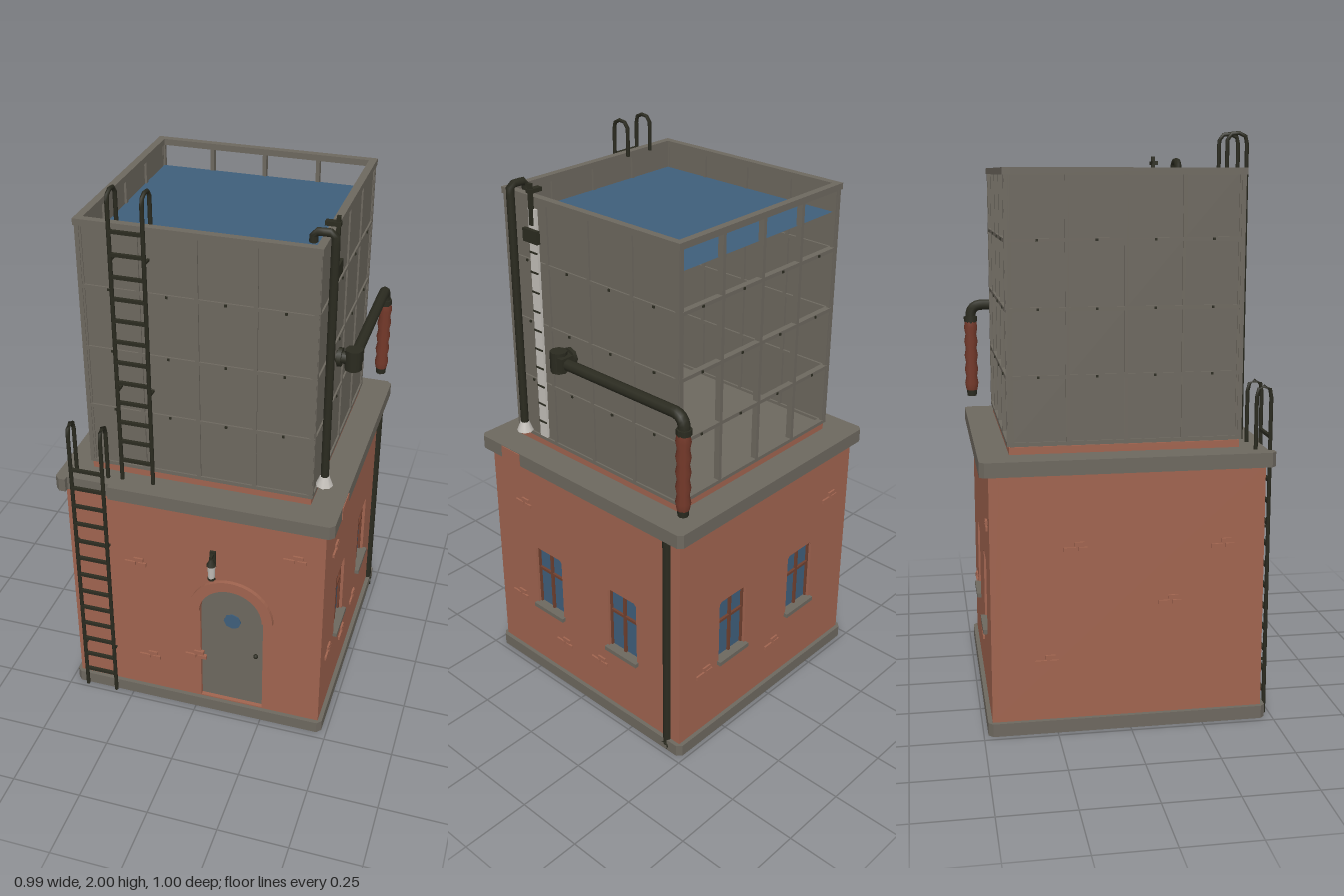
import * as THREE from 'three';

const mat = (name, color, side = THREE.FrontSide) => {
  const m = new THREE.MeshStandardMaterial({ color, side });
  m.name = name;
  return m;
};

export function createModel() {
  const brick = mat('brick', 0xa0644f), grey = mat('weathered grey', 0x6d685f);
  const blue = mat('water blue', 0x3f5f7b, THREE.DoubleSide), iron = mat('dark iron', 0x2b2b20);
  const white = mat('pale white', 0xc4c0ba), hose = mat('hose red', 0x74392a);
  const frame = mat('window frame brown', 0x70402f);

  const root = new THREE.Group();
  root.name = 'waterTower';
  const add = (parent, name, geo, m, x = 0, y = 0, z = 0) => {
    const mesh = new THREE.Mesh(geo, m);
    mesh.name = name;
    mesh.position.set(x, y, z);
    parent.add(mesh);
    return mesh;
  };
  const group = (name, parent = root) => {
    const g = new THREE.Group();
    g.name = name;
    parent.add(g);
    return g;
  };
  const box = (p, name, m, w, h, d, x, y, z) => add(p, name, new THREE.BoxGeometry(w, h, d), m, x, y, z);
  const cyl = (p, name, m, r1, r2, h, x, y, z, n = 8) =>
    add(p, name, new THREE.CylinderGeometry(r1, r2, h, n), m, x, y, z);
  const V = (x, y, z) => new THREE.Vector3(x, y, z);
  // Pipe along a polyline with small rounded corners
  const pipe = (p, name, m, pts, r, bend = 0.03, sides = 8) => {
    const path = new THREE.CurvePath();
    let from = pts[0];
    for (let i = 1; i < pts.length - 1; i++) {
      const c = pts[i];
      const a = c.clone().add(pts[i - 1].clone().sub(c).setLength(bend));
      const b = c.clone().add(pts[i + 1].clone().sub(c).setLength(bend));
      path.add(new THREE.LineCurve3(from, a));
      path.add(new THREE.QuadraticBezierCurve3(a, c, b));
      from = b;
    }
    path.add(new THREE.LineCurve3(from, pts[pts.length - 1]));
    const tube = new THREE.TubeGeometry(path, 48, r, sides);
    add(p, name, tube, m);
  };
  const polygon = pts => new THREE.Shape(pts.map(([x, y]) => new THREE.Vector2(x, y)));
  const extrude = (shape, depth) => new THREE.ExtrudeGeometry(shape, { depth, bevelEnabled: false, curveSegments: 12 });
  // Flat slab with chamfered corners, optional notch at the front edge
  const slab = (p, name, s, y0, h, notch) => {
    const c = 0.016, pts = [[-s, -s + c], [-s + c, -s]];
    if (notch) pts.push([-0.455, -s], [-0.455, -s + 0.018], [-0.3, -s + 0.018], [-0.3, -s]);
    pts.push([s - c, -s], [s, -s + c], [s, s - c], [s - c, s], [-s + c, s], [-s, s - c]);
    add(p, name, extrude(polygon(pts), h), grey, 0, y0, 0).rotation.x = -Math.PI / 2;
  };

  // ---- Brick building ----
  const building = group('building');
  building.position.z = -0.005;
  slab(building, 'plinth', 0.48, 0, 0.045);
  slab(building, 'cornice', 0.495, 0.9, 0.05, true);
  box(building, 'cornicePatch', brick, 0.004, 0.046, 0.095, 0.496, 0.925, 0.33);

  const W = 0.465;
  const windowHole = (x) => polygon([[x - 0.07, 0.295], [x + 0.07, 0.295], [x + 0.07, 0.54],
    [x + 0.06, 0.55], [x - 0.06, 0.55], [x - 0.07, 0.54]]);
  const archPath = (shape, x, r, y0, y1) => {
    shape.moveTo(x - r, y0);
    shape.lineTo(x + r, y0);
    shape.lineTo(x + r, y1);
    shape.absarc(x, y1, r, 0, Math.PI, false);
    shape.lineTo(x - r, y0);
    return shape;
  };
  // Each wall: panel with openings, clusters of raised bricks
  const makeWall = (name, angle, windows, door, bricks) => {
    const g = group(name, building);
    g.rotation.y = angle;
    const shape = polygon([[-W, 0.045], [W, 0.045], [W, 0.9], [-W, 0.9]]);
    windows.forEach(x => shape.holes.push(windowHole(x)));
    if (door) shape.holes.push(archPath(new THREE.Path(), 0.135, 0.117, 0.05, 0.465));
    add(g, 'brickWall', extrude(shape, 0.035), brick, 0, 0, W - 0.035);
    windows.forEach(x => {
      box(g, 'windowPane', blue, 0.15, 0.265, 0.004, x, 0.425, W - 0.022);
      box(g, 'windowMullion', frame, 0.01, 0.255, 0.01, x, 0.423, W - 0.016);
      box(g, 'windowTransom', frame, 0.14, 0.01, 0.01, x, 0.455, W - 0.016);
      [-1, 1].forEach(s => box(g, 'windowJamb', frame, 0.006, 0.255, 0.01, x + s * 0.067, 0.423, W - 0.016));
      box(g, 'windowSill', grey, 0.155, 0.016, 0.04, x, 0.292, W - 0.005);
    });
    bricks.forEach(([x, y]) => [[0, 0, 0.04], [0.032, 0.018, 0.035], [0.045, 0, 0.03]].forEach(([dx, dy, w]) =>
      box(g, 'raisedBrick', brick, w, 0.014, 0.014, x + dx, y + dy, W)));
    return g;
  };
  const front = makeWall('frontWall', 0, [], true, [[-0.2, 0.19], [-0.02, 0.24], [0.34, 0.76], [-0.24, 0.62]]);
  makeWall('rightWall', Math.PI / 2, [-0.19, 0.19], false, [[-0.38, 0.29], [-0.14, 0.18], [0.05, 0.2], [-0.33, 0.72]]);
  makeWall('backWall', Math.PI, [-0.19, 0.19], false, [[0.02, 0.2], [0.33, 0.7], [-0.36, 0.29]]);
  makeWall('leftWall', -Math.PI / 2, [], false, [[0.12, 0.44], [-0.2, 0.64], [0.3, 0.63], [-0.3, 0.25]]);

  // Arched door with surround, round pane and knob
  add(front, 'door', extrude(archPath(new THREE.Shape(), 0.135, 0.12, 0.045, 0.465), 0.015), grey, 0, 0, W - 0.03);
  const ring = new THREE.Shape();
  ring.absarc(0.135, 0.465, 0.155, 0, Math.PI, false);
  ring.absarc(0.135, 0.465, 0.116, Math.PI, 0, true);
  add(front, 'doorArch', extrude(ring, 0.03), brick, 0, 0, W - 0.015);
  cyl(front, 'doorPane', blue, 0.032, 0.032, 0.006, 0.135, 0.425, W - 0.014).rotation.x = Math.PI / 2;
  add(front, 'doorKnob', new THREE.SphereGeometry(0.009, 8, 6), iron, 0.225, 0.288, W - 0.006);

  // Wall lamp
  const lamp = group('lamp');
  box(lamp, 'lampBackplate', iron, 0.02, 0.05, 0.01, 0.07, 0.715, 0.464);
  box(lamp, 'lampArm', iron, 0.01, 0.01, 0.03, 0.07, 0.728, 0.476);
  cyl(lamp, 'lampCap', iron, 0.006, 0.018, 0.025, 0.07, 0.706, 0.483);
  cyl(lamp, 'lampGlass', white, 0.015, 0.012, 0.054, 0.07, 0.667, 0.483);
  cyl(lamp, 'lampBase', iron, 0.014, 0.014, 0.008, 0.07, 0.637, 0.483);

  // ---- Tank ----
  const tank = group('tank');
  tank.position.z = -0.005;
  box(tank, 'brickFooting', brick, 0.78, 0.03, 0.78, 0, 0.96, 0);
  box(tank, 'tankFloor', grey, 0.77, 0.012, 0.77, 0, 0.975, 0);
  add(tank, 'water', new THREE.PlaneGeometry(0.76, 0.76), blue, 0, 1.78, 0).rotation.x = -Math.PI / 2;
  for (let side = 0; side < 4; side++) {
    const g = group('tankSide', tank);
    g.rotation.y = side * Math.PI / 2;
    // the rear side is an open lattice
    if (side !== 2) box(g, 'tankPanel', grey, 0.776, 0.9, 0.008, 0, 1.43, 0.387);
    for (let i = 0; i <= 4; i++) {
      const x = (i - 2) * 0.194, y = 0.985 + i * 0.222;
      box(g, 'uprightRib', grey, 0.013, 0.9, 0.022, x, 1.43, 0.386);
      box(g, 'crossRib', grey, 0.79, 0.013, 0.022, 0, y, 0.386);
      if (i < 4) for (let j = 1; j < 4; j++)
        box(g, 'rivet', iron, 0.008, 0.008, 0.006, (i - 1.5) * 0.194, 0.985 + j * 0.222, 0.398);
    }
    box(g, 'topRim', grey, 0.8, 0.022, 0.026, 0, 1.869, 0.387);
  }

  // ---- Ladders with hooped rail tops ----
  const ladder = (name, x0, x1, yBase, yTop, yEnd, zOut, zIn, rung0, rungs, stays) => {
    const g = group(name);
    [x0, x1].forEach(x => {
      pipe(g, 'ladderRail', iron, [V(x, yBase, zOut), V(x, yTop, zOut), V(x, yTop, zIn), V(x, yEnd, zIn)], 0.007, 0.031, 6);
      stays.forEach(y => box(g, 'ladderStay', iron, 0.008, 0.008, zOut - zIn, x, y, (zOut + zIn) / 2));
    });
    for (let i = 0; i < rungs; i++)
      box(g, 'ladderRung', iron, x1 - x0, 0.011, 0.011, (x0 + x1) / 2, rung0 + i * 0.076, zOut);
  };
  ladder('lowerLadder', -0.433, -0.317, 0, 1.165, 0.95, 0.482, 0.432, 0.08, 13, [0.2, 0.68]);
  ladder('upperLadder', -0.267, -0.155, 0.95, 1.993, 1.87, 0.425, 0.358, 1.03, 12, [1.3, 1.77]);

  // ---- Corner drain pipe ----
  const drain = group('drainPipe');
  cyl(drain, 'drainDownpipe', iron, 0.015, 0.015, 0.88, 0.468, 0.46, -0.415);
  pipe(drain, 'drainShoe', iron, [V(0.468, 0.06, -0.415), V(0.468, 0.018, -0.415), V(0.486, 0.018, -0.415)], 0.015, 0.012);

  // ---- Overflow pipe on the right side ----
  const overflow = group('overflowPipe');
  pipe(overflow, 'overflowTube', iron, [V(0.42, 1.03, 0.326), V(0.42, 1.905, 0.326), V(0.352, 1.905, 0.326), V(0.352, 1.87, 0.326)], 0.014, 0.018);
  cyl(overflow, 'overflowFunnel', white, 0.016, 0.03, 0.035, 0.42, 1.018, 0.326);

  // ---- Level gauge ----
  const gauge = group('levelGauge');
  box(gauge, 'gaugeBoard', white, 0.01, 0.84, 0.036, 0.402, 1.42, 0.24);
  for (let i = 0; i < 11; i++) box(gauge, 'gaugeTick', iron, 0.004, 0.006, 0.036, 0.408, 1.06 + i * 0.07, 0.24);
  box(gauge, 'gaugeMarker', iron, 0.014, 0.045, 0.07, 0.414, 1.75, 0.24);
  box(gauge, 'gaugePost', iron, 0.012, 0.14, 0.014, 0.408, 1.855, 0.24);
  box(gauge, 'gaugeArm', iron, 0.05, 0.014, 0.022, 0.392, 1.9, 0.24);

  // ---- Filling spout ----
  const spout = group('spout');
  cyl(spout, 'spoutInlet', iron, 0.022, 0.022, 0.06, 0.415, 1.36, 0.09).rotation.z = Math.PI / 2;
  cyl(spout, 'spoutFlange', iron, 0.034, 0.034, 0.014, 0.404, 1.36, 0.09).rotation.z = Math.PI / 2;
  cyl(spout, 'spoutJoint', iron, 0.03, 0.03, 0.074, 0.45, 1.36, 0.092);
  box(spout, 'spoutCollar', iron, 0.05, 0.05, 0.025, 0.45, 1.36, 0.062);
  pipe(spout, 'spoutPipe', iron, [V(0.45, 1.36, 0.08), V(0.45, 1.36, -0.472), V(0.45, 1.29, -0.472)], 0.02, 0.045);
  cyl(spout, 'spoutCuff', iron, 0.026, 0.026, 0.02, 0.45, 1.305, -0.472);
  const folds = [];
  for (let i = 0; i <= 10; i++) folds.push(new THREE.Vector2(i % 2 ? 0.026 : 0.021, 1.025 + i * 0.0275));
  add(spout, 'spoutHose', new THREE.LatheGeometry(folds, 10), hose, 0.453, 0, -0.472);
  cyl(spout, 'hoseNozzle', iron, 0.02, 0.018, 0.028, 0.453, 1.016, -0.472);

  return root;
}
